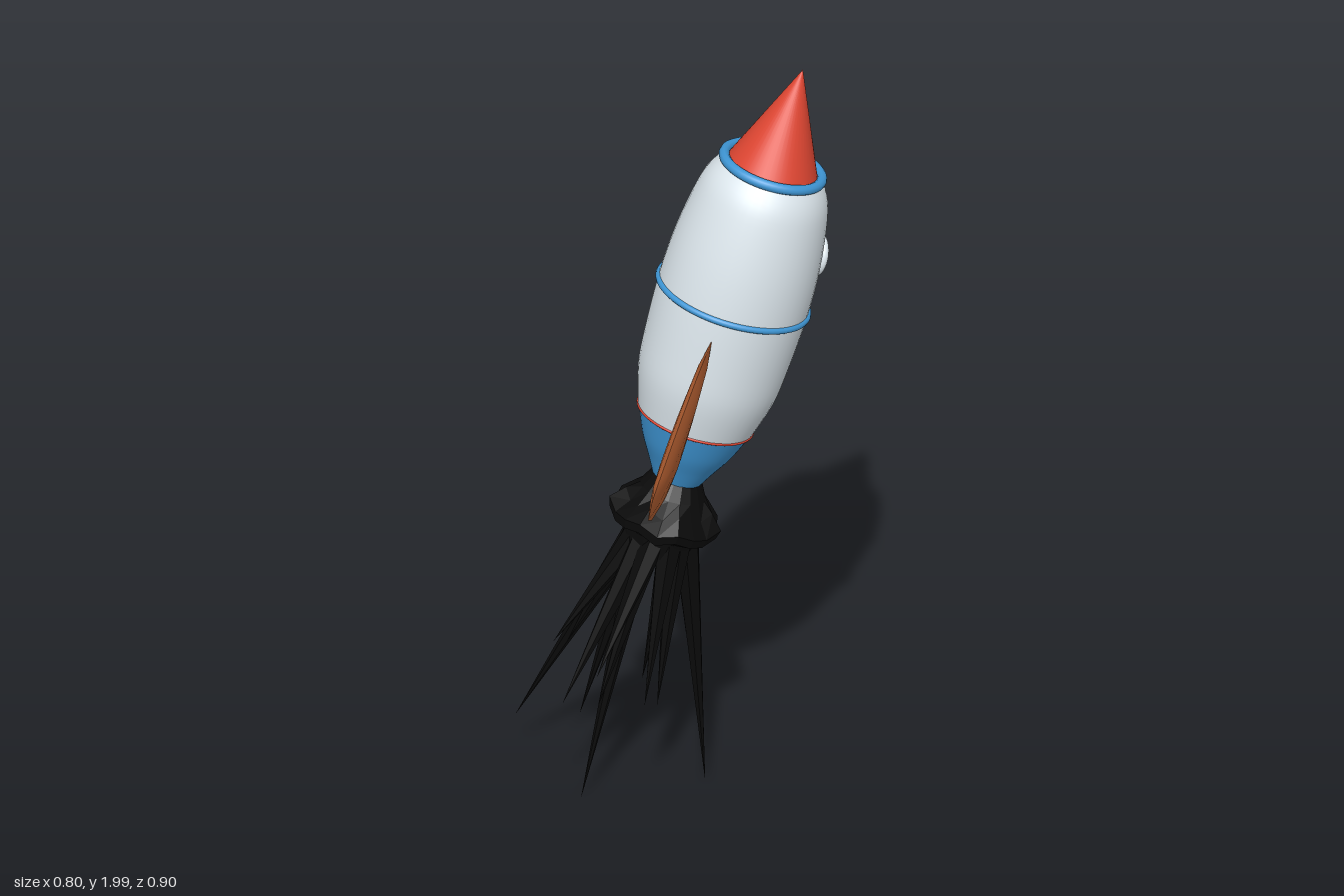
import * as THREE from 'three';

const paint = (color, extra = {}) => new THREE.MeshStandardMaterial({ color, ...extra });
const white = paint(0xdce6ec);
const blue = paint(0x3f97d6);
const red = paint(0xdf4632);
const orange = paint(0xbd6434, { side: THREE.DoubleSide });
const black = paint(0x0a0a0a, { side: THREE.DoubleSide });
const soot = paint(0x0a0a0a, { side: THREE.DoubleSide, flatShading: true });

function add(parent, name, geometry, material) {
  const mesh = new THREE.Mesh(geometry, material);
  mesh.name = name;
  parent.add(mesh);
  return mesh;
}

// Smooth lathe through a few [radius, height] points
function turned(points, segments = 48) {
  const curve = new THREE.SplineCurve(points.map(([r, y]) => new THREE.Vector2(r, y)));
  return new THREE.LatheGeometry(curve.getPoints(28), segments);
}

// Horizontal hoop around the rocket axis
function hoop(parent, name, radius, tube, y, material) {
  const mesh = add(parent, name, new THREE.TorusGeometry(radius, tube, 10, 56), material);
  mesh.rotation.x = Math.PI / 2;
  mesh.position.y = y;
}

// Lens-like fin: outline in the xy plane, swelling in z towards its middle
function finGeometry() {
  const outline = [
    [0.19, 0.47], [0.278, 0.403], [0.368, 0.287], [0.437, 0.163], [0.454, 0.115],
    [0.406, 0.042], [0.311, 0.004], [0.25, 0.001], [0.184, 0.033], [0.166, 0.098],
    [0.16, 0.24], [0.165, 0.36],
  ];
  const rings = [[1, 0], [0.75, 0.012], [0.4, 0.018], [0.001, 0.02]];
  const n = outline.length, cx = 0.28, cy = 0.2;
  const positions = [], index = [];
  for (const side of [1, -1]) {
    const start = positions.length / 3;
    for (const [scale, half] of rings)
      for (const [x, y] of outline)
        positions.push(cx + (x - cx) * scale, cy + (y - cy) * scale, side * half);
    for (let r = 0; r < rings.length - 1; r++) {
      for (let i = 0; i < n; i++) {
        const a = start + r * n + i, b = start + r * n + (i + 1) % n;
        const c = a + n, d = b + n;
        // outline runs clockwise seen from +z
        if (side > 0) index.push(a, c, b, b, c, d);
        else index.push(a, b, c, b, d, c);
      }
    }
  }
  const g = new THREE.BufferGeometry();
  g.setAttribute('position', new THREE.Float32BufferAttribute(positions, 3));
  g.setIndex(index);
  g.computeVertexNormals();
  return g;
}

// Cone from a base centre to a tip
function spike(parent, base, tip, radius) {
  const dir = tip.clone().sub(base);
  const g = new THREE.ConeGeometry(radius, dir.length(), 6);
  const mesh = add(parent, 'exhaustSpike', g, soot);
  mesh.position.copy(base).addScaledVector(dir, 0.5);
  mesh.quaternion.setFromUnitVectors(new THREE.Vector3(0, 1, 0), dir.normalize());
}

export function createModel() {
  const model = new THREE.Group();
  model.name = 'rocket';

  // Tilted frame: local y is the rocket's axis, origin at the nozzle's lower rim
  const ship = new THREE.Group();
  ship.name = 'ship';
  ship.position.set(0.025, 0.88, 0.01);
  ship.quaternion.setFromUnitVectors(
    new THREE.Vector3(0, 1, 0), new THREE.Vector3(0.2588, 0.9598, -0.1097).normalize());
  model.add(ship);

  // Hull
  add(ship, 'body', turned([
    [0.15, 0.178], [0.178, 0.28], [0.188, 0.38], [0.194, 0.526],
    [0.189, 0.66], [0.171, 0.79], [0.152, 0.85], [0.122, 0.892],
  ]), white);
  add(ship, 'nozzle', turned([
    [0.06, 0], [0.087, 0.05], [0.118, 0.105], [0.148, 0.178],
  ]), blue);
  const nozzleBase = add(ship, 'nozzleBase', new THREE.CircleGeometry(0.06, 32), blue);
  nozzleBase.rotation.x = Math.PI / 2;
  const nose = add(ship, 'noseCone', new THREE.ConeGeometry(0.118, 0.28, 48), red);
  nose.position.y = 1.027;

  // Hoops
  hoop(ship, 'noseRing', 0.127, 0.0135, 0.891, blue);
  hoop(ship, 'middleRing', 0.194, 0.0085, 0.526, blue);
  hoop(ship, 'lowerTrim', 0.149, 0.004, 0.178, red);

  // Porthole
  const porthole = new THREE.Group();
  porthole.name = 'porthole';
  const angle = -0.506;
  porthole.position.set(Math.cos(angle) * 0.192, 0.66, Math.sin(angle) * 0.192);
  porthole.rotation.y = Math.PI / 2 - angle;
  ship.add(porthole);
  add(porthole, 'portholeFrame', new THREE.TorusGeometry(0.047, 0.01, 10, 40), white);
  const pane = add(porthole, 'portholePane', new THREE.CylinderGeometry(0.04, 0.04, 0.02, 32), black);
  pane.rotation.x = Math.PI / 2;

  // Two opposite fins
  const fin = finGeometry();
  for (const [name, turn] of [['frontFin', -Math.PI / 2], ['backFin', Math.PI / 2]]) {
    add(ship, name, fin, orange).rotation.y = turn - 0.075;
  }

  // Flared exhaust collar with an uneven rim
  const collar = new THREE.LatheGeometry([
    [0.0, 0.02], [0.06, 0.018], [0.085, -0.03], [0.11, -0.065], [0.142, -0.1],
    [0.135, -0.125], [0.095, -0.14], [0.085, -0.19], [0, -0.2],
  ].map(([r, y]) => new THREE.Vector2(r, y)), 18);
  const p = collar.attributes.position;
  for (let i = 0; i < p.count; i++) {
    const x = p.getX(i), z = p.getZ(i), r = Math.hypot(x, z);
    if (r < 0.1) continue;
    const wave = Math.sin(Math.atan2(z, x) * 7);
    p.setXYZ(i, x * (1 + 0.05 * wave), p.getY(i) + 0.012 * wave, z * (1 + 0.05 * wave));
  }
  collar.computeVertexNormals();
  add(ship, 'exhaustCollar', collar, soot);

  // Exhaust spikes trailing below
  const exhaust = new THREE.Group();
  exhaust.name = 'exhaust';
  model.add(exhaust);
  const tips = [
    [-0.4, 0.11, -0.11], [-0.23, 0.16, -0.17], [-0.2, 0.01, 0.12], [0.1, 0.03, 0.02],
    [-0.27, 0.45, 0.115], [-0.14, 0.43, 0.25], [-0.235, 0.32, 0.2], [-0.25, 0.4, 0.02],
    [-0.225, 0.17, -0.03], [-0.15, 0.3, 0.17], [-0.01, 0.28, 0.1], [-0.07, 0.27, -0.05],
    [-0.03, 0.32, 0.18], [0.04, 0.4, -0.06], [-0.2, 0.02, 0.03],
  ];
  tips.pop();
  for (const t of tips) {
    const tip = new THREE.Vector3(...t);
    const out = new THREE.Vector3(t[0] + 0.11, 0, t[2] - 0.03).normalize();
    const base = new THREE.Vector3(-0.005, 0.76, 0.025).addScaledVector(out, 0.055);
    spike(exhaust, base, tip, 0.036);
  }
  return model;
}
